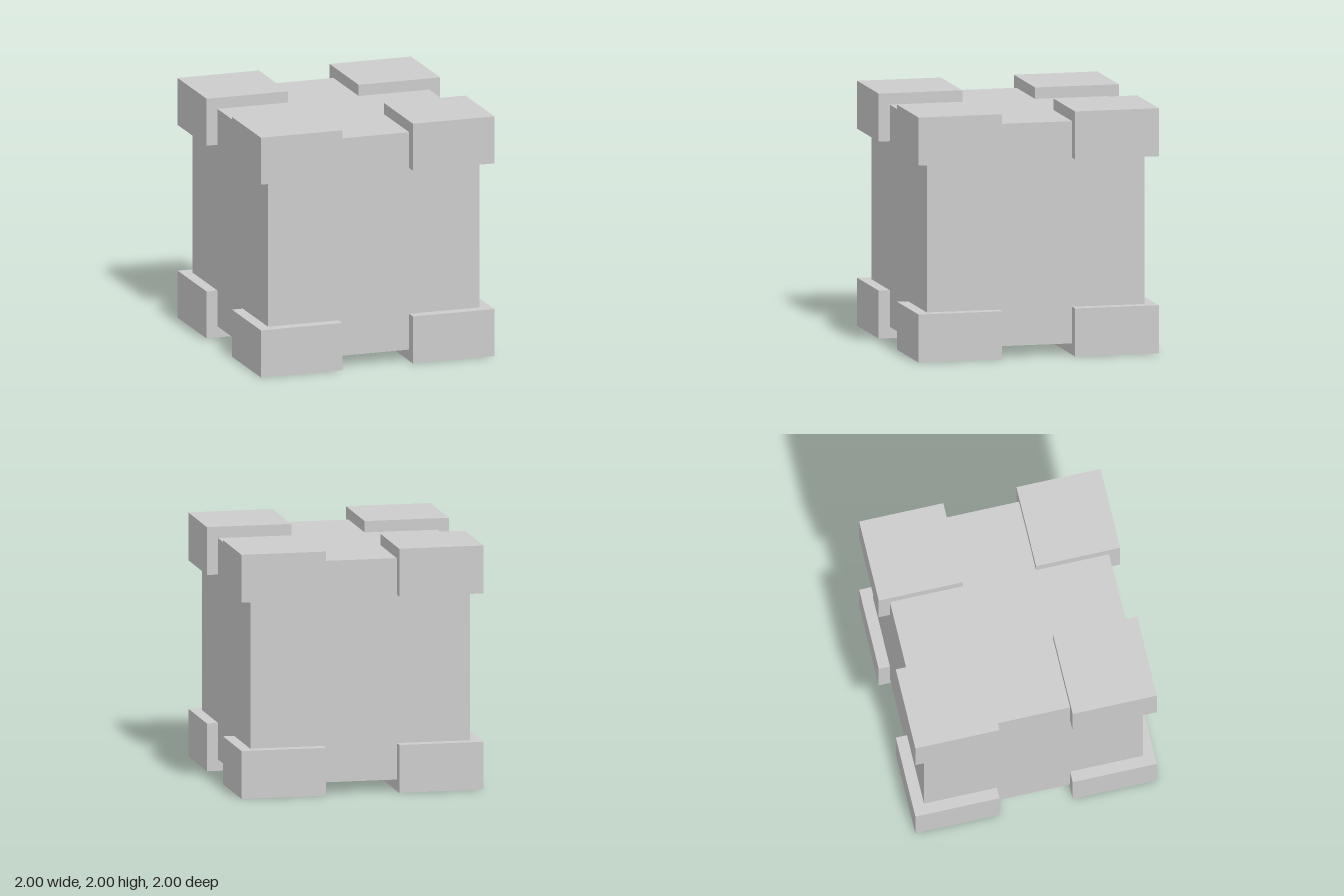
import * as THREE from 'three';

export function createModel() {
  const group = new THREE.Group();
  const material = new THREE.MeshStandardMaterial({ color: 0xcccccc, flatShading: true });

  const addBox = (name, size, position) => {
    const mesh = new THREE.Mesh(new THREE.BoxGeometry(...size), material);
    mesh.name = name;
    mesh.position.set(...position);
    group.add(mesh);
  };

  // Main cube
  const core = 1.814;
  addBox('crateBody', [core, core, core], [0, 1, 0]);

  // Eight protective blocks wrapping the corners
  const width = 0.697, height = 0.392;
  for (const y of [-1, 1])
    for (const x of [-1, 1])
      for (const z of [-1, 1]) {
        const name = `${y > 0 ? 'top' : 'bottom'}${z > 0 ? 'Front' : 'Back'}${x > 0 ? 'Left' : 'Right'}Corner`;
        addBox(name, [width, height, width],
          [x * (1 - width / 2), 1 + y * (1 - height / 2), z * (1 - width / 2)]);
      }

  return group;
}
